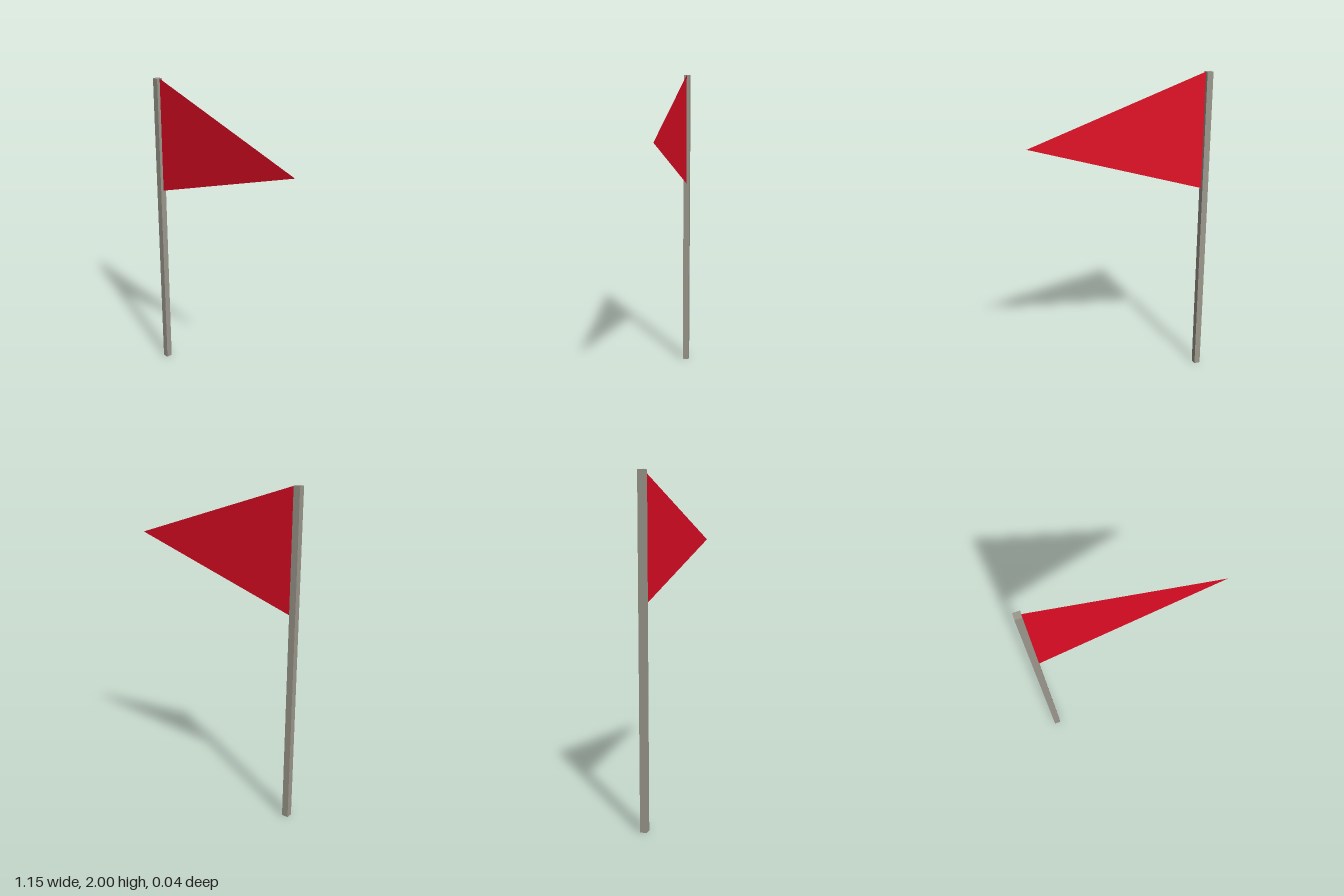
import * as THREE from 'three';

export function createModel() {
  const group = new THREE.Group();
  const poleWidth = 0.04, height = 2, halfSpan = 0.577;
  const poleEdge = -halfSpan + poleWidth;

  // Square upright pole
  const pole = new THREE.Mesh(
    new THREE.BoxGeometry(poleWidth, height, poleWidth),
    new THREE.MeshStandardMaterial({ color: 0x9b978c })
  );
  pole.name = 'pole';
  pole.position.set(-halfSpan + poleWidth / 2, height / 2, 0);
  group.add(pole);

  // Thin triangular pennant, fixed along the middle of the pole's side
  const outline = new THREE.Shape([
    new THREE.Vector2(poleEdge, height),
    new THREE.Vector2(poleEdge, 1.277),
    new THREE.Vector2(halfSpan, 1.638),
  ]);
  const flag = new THREE.Mesh(
    new THREE.ShapeGeometry(outline),
    new THREE.MeshStandardMaterial({ color: 0xe00c24, side: THREE.DoubleSide })
  );
  flag.name = 'flag';
  group.add(flag);

  return group;
}
